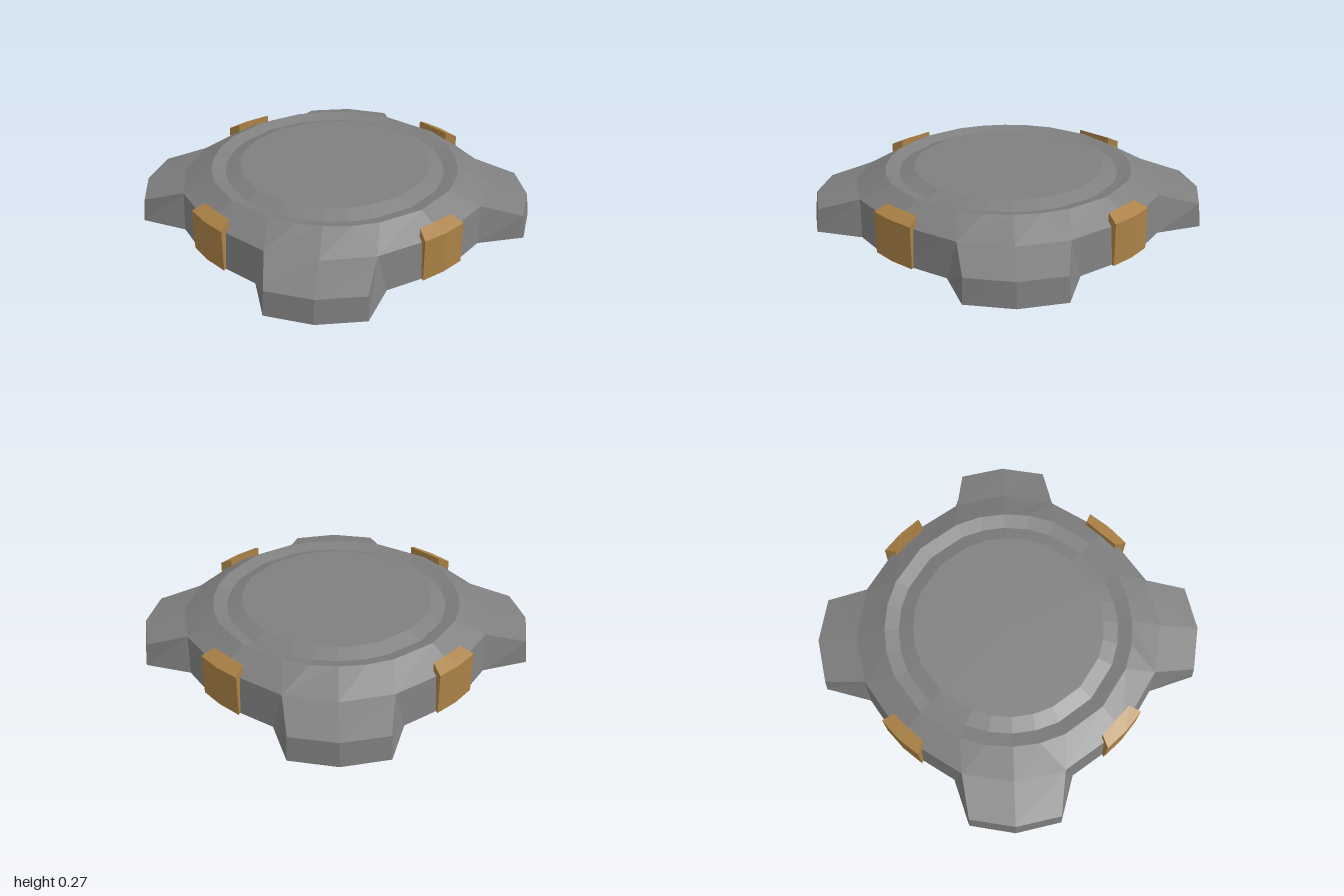
import * as THREE from 'three';

const stone = new THREE.MeshStandardMaterial({ color: 0x7f7f7f, flatShading: true });
stone.name = 'grey stone';
const brass = new THREE.MeshStandardMaterial({ color: 0xaa8145, flatShading: true });
brass.name = 'brass';

// Repeats a quarter of an outline [x, y, z] four times around the y axis
function fourfold(quarter) {
  const ring = [];
  for (let q = 0; q < 4; q++) {
    for (let [x, y, z] of quarter) {
      for (let i = 0; i < q; i++) [x, z] = [-z, x];
      ring.push([x, y, z]);
    }
  }
  return ring;
}

// Joins rings of equal length from bottom to top, closing both ends with a fan
function loft(rings) {
  const n = rings[0].length;
  const first = rings[0][0][1];
  const last = rings[rings.length - 1][0][1];
  const points = [...rings.flat(), [0, first, 0], [0, last, 0]];
  const index = [];
  const same = (a, b) => points[a].every((v, k) => Math.abs(v - points[b][k]) < 1e-6);
  const tri = (a, b, c) => {
    if (!same(a, b) && !same(b, c) && !same(a, c)) index.push(a, b, c);
  };
  for (let i = 0; i < n; i++) {
    const j = (i + 1) % n;
    for (let r = 0; r < rings.length - 1; r++) {
      const a = r * n + i, b = r * n + j, c = a + n, d = b + n;
      tri(a, c, b);
      tri(b, c, d);
    }
    const top = (rings.length - 1) * n;
    tri(n * rings.length, i, j);
    tri(n * rings.length + 1, top + j, top + i);
  }
  const geometry = new THREE.BufferGeometry();
  geometry.setAttribute('position', new THREE.Float32BufferAttribute(points.flat(), 3));
  geometry.setIndex(index);
  geometry.computeVertexNormals();
  return geometry;
}

// Four-lobed base with a sloping shoulder, raised rim, groove and central plate
function baseGeometry() {
  const foot = fourfold([
    [1, 0, 0], [0.955, 0, 0.228], [0.725, 0, 0.298],
    [0.555, 0, 0.555], [0.298, 0, 0.725], [0.228, 0, 0.955],
  ]);
  const wallTop = fourfold([
    [0.985, 0.12, 0], [0.942, 0.12, 0.224], [0.73, 0.182, 0.252],
    [0.54, 0.185, 0.54], [0.252, 0.182, 0.73], [0.224, 0.12, 0.942],
  ]);
  const shoulder = fourfold([
    [0.78, 0.178, 0], [0.73, 0.182, 0.252], [0.73, 0.182, 0.252],
    [0.54, 0.185, 0.54], [0.252, 0.182, 0.73], [0.252, 0.182, 0.73],
  ]);
  const circle = (r, y) => fourfold([0, 12, 24, 45, 66, 78].map((deg) => {
    const a = THREE.MathUtils.degToRad(deg);
    return [r * Math.cos(a), y, r * Math.sin(a)];
  }));
  return loft([foot, wallTop, shoulder, circle(0.625, 0.26),
    circle(0.555, 0.24), circle(0.48, 0.268)]);
}

// Clamp with a bevelled top and a slightly bowed outer face
function clampGeometry() {
  const geometry = new THREE.BoxGeometry(0.25, 0.24, 0.06, 2, 1, 1);
  geometry.translate(0, 0.12, 0);
  const p = geometry.attributes.position;
  for (let i = 0; i < p.count; i++) {
    const outer = p.getZ(i) > 0;
    if (outer && p.getY(i) > 0.1) p.setY(i, 0.21);
    if (outer && Math.abs(p.getX(i)) < 0.01) p.setZ(i, 0.04);
    if (!outer) p.setX(i, p.getX(i) * 0.8);
  }
  geometry.computeVertexNormals();
  return geometry;
}

export function createModel() {
  const model = new THREE.Group();
  model.name = 'pedestal';

  const base = new THREE.Mesh(baseGeometry(), stone);
  base.name = 'lobedBase';
  model.add(base);

  // One clamp in each notch between the lobes
  const clamp = clampGeometry();
  ['frontLeft', 'backLeft', 'backRight', 'frontRight'].forEach((name, i) => {
    const angle = Math.PI / 4 + i * Math.PI / 2;
    const mesh = new THREE.Mesh(clamp, brass);
    mesh.name = name + 'Clamp';
    mesh.position.set(Math.sin(angle) * 0.745, 0, Math.cos(angle) * 0.745);
    mesh.rotation.y = angle;
    model.add(mesh);
  });
  return model;
}
